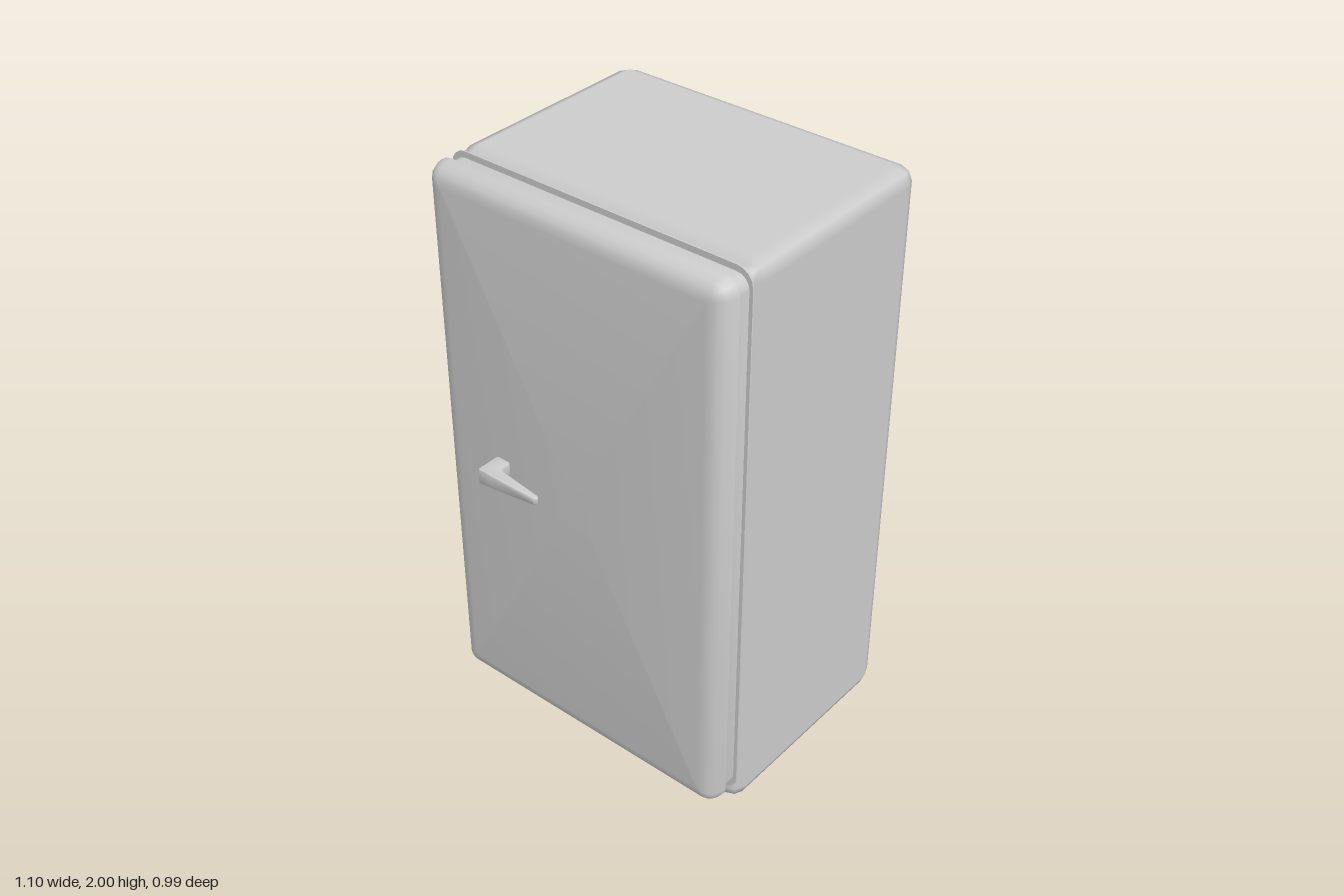
import * as THREE from 'three';
import { toCreasedNormals } from 'three/addons/utils/BufferGeometryUtils.js';
import { RoundedBoxGeometry } from 'three/addons/geometries/RoundedBoxGeometry.js';

const material = new THREE.MeshStandardMaterial({ color: 0xcccccc });

function addPart(group, name, geometry) {
  const mesh = new THREE.Mesh(geometry, material);
  mesh.name = name;
  group.add(mesh);
  return mesh;
}

// Outline of a rounded rectangle, counter-clockwise
function outline(halfW, halfH, radius, steps = 4) {
  const points = [];
  const corners = [[1, 1], [-1, 1], [-1, -1], [1, -1]];
  corners.forEach(([sx, sy], c) => {
    for (let i = 0; i <= steps; i++) {
      const a = (c + i / steps) * Math.PI / 2;
      points.push([
        sx * (halfW - radius) + Math.cos(a) * radius,
        sy * (halfH - radius) + Math.sin(a) * radius,
      ]);
    }
  });
  return points;
}

// Closed panel lofted through [inset x, inset y, z] profile rows, back to front
function panel(width, height, radius, profile) {
  const position = [], index = [];
  let n = 0;
  for (const [ix, iy, z] of profile) {
    const ring = outline(width / 2 - ix, height / 2 - iy, Math.max(radius - ix, 0.012));
    n = ring.length;
    ring.forEach(([x, y]) => position.push(x, y, z));
  }
  const rows = profile.length;
  const back = rows * n, front = back + 1, last = (rows - 1) * n;
  position.push(0, 0, profile[0][2], 0, 0, profile[rows - 1][2]);
  for (let i = 0; i < n; i++) {
    const j = (i + 1) % n;
    for (let r = 0; r < rows - 1; r++) {
      const a = r * n + i, b = r * n + j;
      index.push(a, b, b + n, a, b + n, a + n);
    }
    index.push(back, j, i, front, last + i, last + j);
  }
  const geometry = new THREE.BufferGeometry();
  geometry.setAttribute('position', new THREE.Float32BufferAttribute(position, 3));
  geometry.setIndex(index);
  return toCreasedNormals(geometry, 0.75);
}

// L-shaped lever: a stem on the door and an arm that tapers towards its tip
function leverGeometry() {
  const s = new THREE.Shape();
  s.moveTo(-0.32, 0.412);
  s.quadraticCurveTo(-0.32, 0.403, -0.311, 0.403);
  s.lineTo(-0.274, 0.403);
  s.quadraticCurveTo(-0.265, 0.403, -0.265, 0.412);
  s.lineTo(-0.265, 0.434);
  s.quadraticCurveTo(-0.265, 0.447, -0.25, 0.448);
  s.lineTo(-0.105, 0.459);
  s.quadraticCurveTo(-0.093, 0.461, -0.093, 0.468);
  s.quadraticCurveTo(-0.093, 0.475, -0.105, 0.477);
  s.lineTo(-0.265, 0.49);
  s.lineTo(-0.311, 0.492);
  s.quadraticCurveTo(-0.32, 0.492, -0.32, 0.483);
  s.closePath();
  const height = 0.054, bevel = 0.005;
  const geometry = new THREE.ExtrudeGeometry(s, {
    depth: height - 2 * bevel, curveSegments: 4,
    bevelSize: bevel, bevelThickness: bevel, bevelOffset: -bevel, bevelSegments: 2,
  });
  geometry.translate(0, 0, bevel - height / 2);
  geometry.rotateX(Math.PI / 2);
  const p = geometry.attributes.position;
  for (let i = 0; i < p.count; i++) {
    const t = THREE.MathUtils.clamp((p.getX(i) + 0.29) / 0.197, 0, 1);
    p.setY(i, p.getY(i) * (1 - 0.5 * t));
  }
  return toCreasedNormals(geometry, 0.75);
}

export function createModel() {
  const model = new THREE.Group();
  model.name = 'refrigerator';

  // Cabinet with softly rounded edges
  const cabinet = addPart(model, 'cabinet', new RoundedBoxGeometry(1.1, 2, 0.776, 1, 0.055));
  cabinet.position.set(0, 1, -0.105);

  // Door assembly, raised above the cabinet's foot
  const door = new THREE.Group();
  door.name = 'door';
  door.position.y = 1.0375;
  model.add(door);

  // Thin flange and recessed seal behind the door
  addPart(door, 'doorSeal', panel(1.1, 1.925, 0.055, [
    [0, 0, 0.281], [0, 0, 0.286], [0.012, 0.02, 0.286], [0.012, 0.02, 0.341],
  ]));

  // Door panel with a rounded front edge
  addPart(door, 'doorPanel', panel(1.1, 1.925, 0.055, [
    [0, 0, 0.34], [0.003, 0.003, 0.358], [0.012, 0.012, 0.379],
    [0.027, 0.027, 0.394], [0.045, 0.045, 0.402], [0.065, 0.065, 0.405],
  ]));

  // Handle
  addPart(door, 'handle', leverGeometry());

  return model;
}
